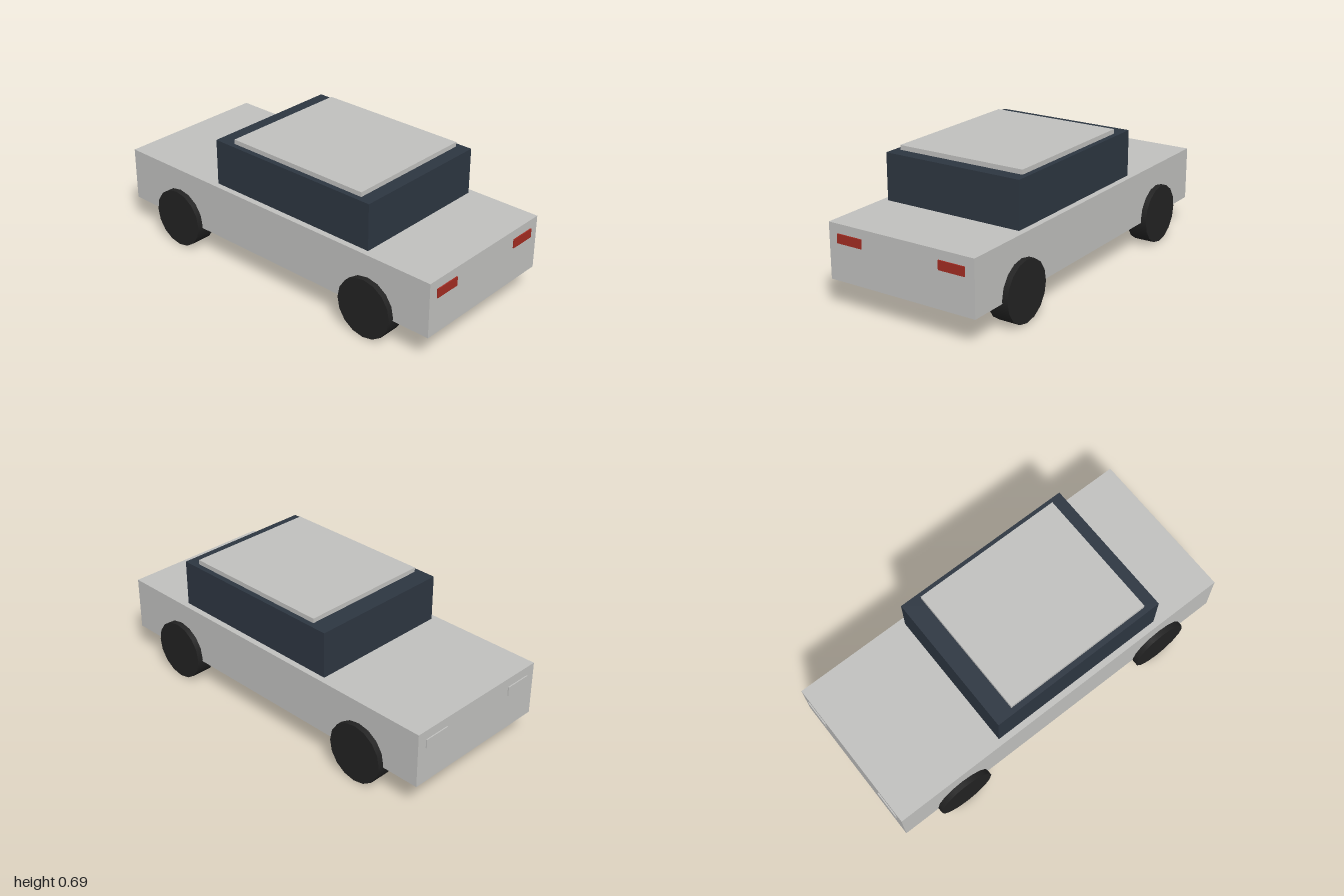
import * as THREE from 'three';

export function createModel() {
  const car = new THREE.Group();
  car.name = 'car';

  const material = (name, color) => {
    const m = new THREE.MeshStandardMaterial({ color });
    m.name = name;
    return m;
  };
  const paint = material('silver paint', 0xc0c0be);
  const glass = material('dark glass', 0x2d3641);
  const rubber = material('black rubber', 0x222222);
  const red = material('red lamp', 0xa32c22);

  const add = (name, geometry, mat, x, y, z) => {
    const mesh = new THREE.Mesh(geometry, mat);
    mesh.name = name;
    mesh.position.set(x, y, z);
    car.add(mesh);
  };

  // Box given by its width and its y and z ranges, centred on x
  const block = (name, mat, width, y0, y1, z0, z1) =>
    add(name, new THREE.BoxGeometry(width, y1 - y0, z1 - z0), mat, 0, (y0 + y1) / 2, (z0 + z1) / 2);

  block('body', paint, 0.83, 0.143, 0.427, -0.994, 0.994);
  block('cabin', glass, 0.766, 0.427, 0.669, -0.38, 0.61);
  block('roof', paint, 0.708, 0.669, 0.693, -0.28, 0.54);

  const wheel = new THREE.CylinderGeometry(0.156, 0.156, 0.112, 16).rotateZ(Math.PI / 2);
  const lamp = new THREE.BoxGeometry(0.143, 0.047, 0.009);

  for (const [side, sx] of [['left', 1], ['right', -1]]) {
    for (const [end, sz] of [['Front', 1], ['Back', -1]]) {
      add(`${side}${end}Wheel`, wheel, rubber, sx * 0.389, 0.156, sz * 0.637);
      // Red lamps at +z, silver lamps at -z
      add(`${side}${end}Lamp`, lamp, sz > 0 ? red : paint, sx * 0.292, 0.356, sz * 0.9955);
    }
  }

  return car;
}
